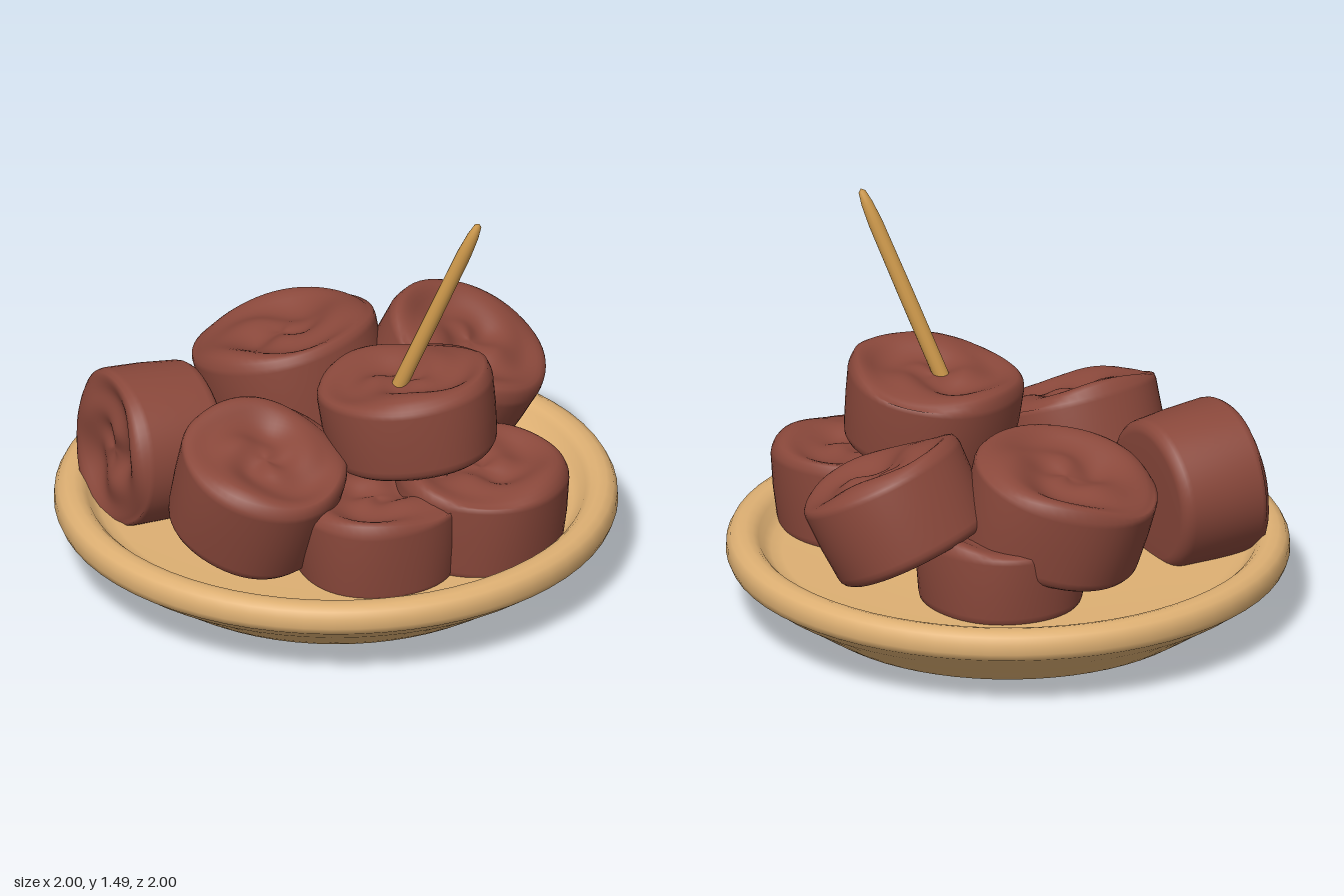
import * as THREE from 'three';
import { mergeVertices } from 'three/addons/utils/BufferGeometryUtils.js';

const chocolate = new THREE.MeshStandardMaterial({ color: 0x8a483b });
chocolate.name = 'chocolate';
const plateTan = new THREE.MeshStandardMaterial({ color: 0xdeb073 });
plateTan.name = 'plate tan';
const wood = new THREE.MeshStandardMaterial({ color: 0xcf9a4c });
wood.name = 'wood';

const UP = new THREE.Vector3(0, 1, 0);
const points = (list) => list.map(([x, y]) => new THREE.Vector2(x, y));

function lathe(profile, segments) {
  const g = new THREE.LatheGeometry(points(profile), segments);
  g.deleteAttribute('uv');
  g.deleteAttribute('normal');
  const merged = mergeVertices(g, 1e-5);
  merged.computeVertexNormals();
  return merged;
}

// Rounded cylinder with a dented, swirled top face
function candyGeometry(radius, height, seed) {
  const h = height / 2;
  const bevel = 0.045;
  const profile = [[0, -h], [radius * 0.5, -h], [radius * 0.96 - bevel, -h]];
  for (let i = 1; i <= 4; i++) {
    const a = (i / 4) * Math.PI / 2;
    profile.push([radius * 0.96 - bevel + Math.sin(a) * bevel, -h + bevel - Math.cos(a) * bevel]);
  }
  profile.push([radius * 0.99, 0]);
  for (let i = 0; i <= 4; i++) {
    const a = (i / 4) * Math.PI / 2;
    profile.push([radius - bevel + Math.cos(a) * bevel, h - bevel + Math.sin(a) * bevel]);
  }
  for (let i = 1; i <= 14; i++) profile.push([(radius - bevel) * (1 - i / 14), h]);

  const g = lathe(profile, 56);
  const p = g.attributes.position;
  for (let i = 0; i < p.count; i++) {
    const x = p.getX(i), y = p.getY(i), z = p.getZ(i);
    const r = Math.hypot(x, z) / radius;
    const a = Math.atan2(z, x);
    if (y > h - 0.02) {
      const fade = Math.min(1, r * 3);
      const ridge = Math.sin(a * 2 + r * 8 + seed) * 0.013 * fade;
      const lumps = Math.sin(a * 3 - r * 4 + seed * 2.3) * 0.008 * fade;
      const dish = -0.028 * Math.max(0, 1 - r * r * 1.6);
      p.setY(i, y + ridge + lumps + dish);
    }
    const wobble = 1 + 0.012 * Math.sin(a * 3 + seed) + 0.008 * Math.sin(a * 5 + y * 8 + seed * 2);
    p.setX(i, x * wobble);
    p.setZ(i, z * wobble);
  }
  g.computeVertexNormals();
  return g;
}

function addCandy(group, { name, at, axis, radius, height }, index) {
  const mesh = new THREE.Mesh(candyGeometry(radius, height, index * 1.7 + 0.6), chocolate);
  mesh.name = name;
  mesh.position.set(...at);
  mesh.quaternion.setFromUnitVectors(UP, new THREE.Vector3(...axis).normalize());
  group.add(mesh);
}

export function createModel() {
  const model = new THREE.Group();
  model.name = 'plateOfCandies';

  // Plate with sloping underside and rolled rim
  const plate = new THREE.Mesh(lathe([
    [0, 0.005], [0.4, 0.005], [0.66, 0.008], [0.71, 0.018], [0.76, 0.05], [0.84, 0.105],
    [0.92, 0.155], [0.965, 0.19], [0.99, 0.205], [1, 0.23], [0.998, 0.265], [0.985, 0.29],
    [0.96, 0.303], [0.93, 0.305], [0.905, 0.298], [0.885, 0.28], [0.865, 0.25],
    [0.84, 0.232], [0.8, 0.222], [0.5, 0.22], [0, 0.22],
  ], 64), plateTan);
  plate.name = 'plate';
  model.add(plate);

  // Candies piled on the plate
  const candies = new THREE.Group();
  candies.name = 'candies';
  [
    { name: 'topCandy', at: [0.34, 0.69, 0.03], axis: [-0.14, 1, 0.01], radius: 0.315, height: 0.3 },
    { name: 'leftCandy', at: [0.59, 0.37, -0.04], axis: [0.06, 1, 0], radius: 0.31, height: 0.34 },
    { name: 'frontLeftCandy', at: [0.38, 0.35, 0.3], axis: [0, 1, 0.02], radius: 0.3, height: 0.32 },
    { name: 'frontCandy', at: [0.01, 0.485, 0.51], axis: [0.33, 0.93, 0.1], radius: 0.3, height: 0.36 },
    { name: 'sidewaysCandy', at: [-0.53, 0.46, 0.38], axis: [-0.48, 0.06, 0.87], radius: 0.285, height: 0.35 },
    { name: 'lowerBackCandy', at: [-0.2, 0.35, -0.36], axis: [0, 1, 0], radius: 0.305, height: 0.3 },
    { name: 'upperBackCandy', at: [-0.36, 0.54, -0.24], axis: [-0.25, 0.95, 0.04], radius: 0.335, height: 0.33 },
    { name: 'backCandy', at: [0.12, 0.54, -0.555], axis: [0.45, 0.87, -0.08], radius: 0.305, height: 0.34 },
  ].forEach((c, i) => addCandy(candies, c, i));
  model.add(candies);

  // Toothpick with tapered tip, leaning out of the top candy
  const start = new THREE.Vector3(0.27, 0.7, 0.068);
  const end = new THREE.Vector3(0.592, 1.49, -0.036);
  const length = start.distanceTo(end);
  const pick = new THREE.Mesh(lathe([
    [0, 0], [0.028, 0.01], [0.028, length * 0.5], [0.026, length - 0.14],
    [0.021, length - 0.06], [0.013, length - 0.012], [0, length],
  ], 14), wood);
  pick.name = 'toothpick';
  pick.position.copy(start);
  pick.quaternion.setFromUnitVectors(UP, end.clone().sub(start).normalize());
  model.add(pick);

  return model;
}
